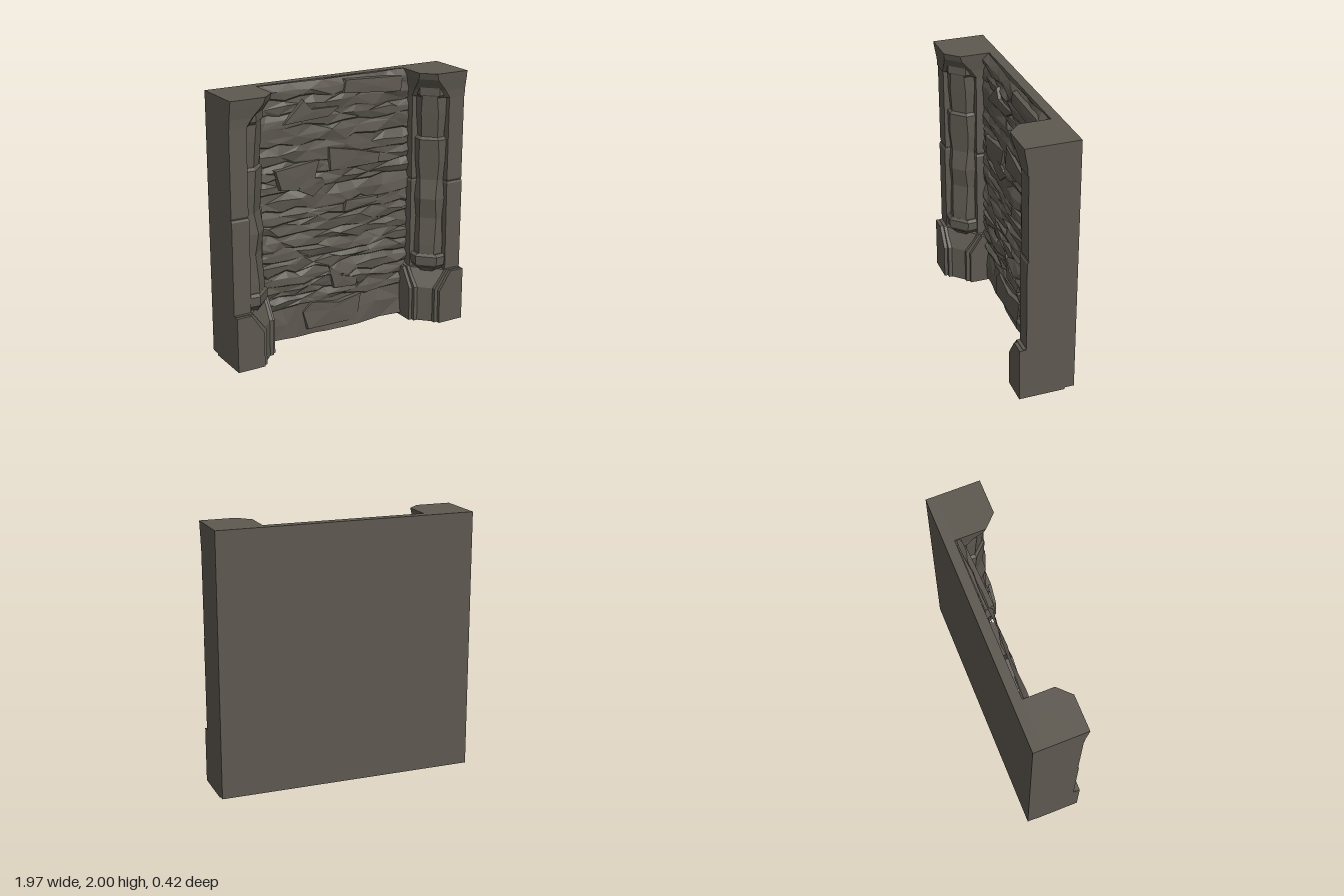
import * as THREE from 'three';

// Seeded random numbers in -1..1
function makeRandom(seed) {
  return () => {
    seed = (seed * 16807) % 2147483647;
    return (seed / 2147483647) * 2 - 1;
  };
}

function fromTriangles(points) {
  const g = new THREE.BufferGeometry();
  g.setAttribute('position', new THREE.Float32BufferAttribute(points.flat(), 3));
  g.computeVertexNormals();
  return g;
}

// Stacks horizontal cross-sections [[x, z], ...] into a closed solid
function loft(levels) {
  const flat = levels[0].pts.map(([x, z]) => new THREE.Vector2(x, -z));
  const reverse = THREE.ShapeUtils.isClockWise(flat);
  const rings = levels.map(({ y, pts }) => {
    const ring = pts.map(([x, z]) => [x, y, z]);
    return reverse ? ring.reverse() : ring;
  });
  const tris = [];
  const n = rings[0].length;
  for (let k = 0; k < rings.length - 1; k++) {
    for (let i = 0; i < n; i++) {
      const j = (i + 1) % n, a = rings[k], b = rings[k + 1];
      tris.push(a[i], a[j], b[j], a[i], b[j], b[i]);
    }
  }
  const cap = (ring, up) => {
    const contour = ring.map(([x, , z]) => new THREE.Vector2(x, -z));
    for (const [a, b, c] of THREE.ShapeUtils.triangulateShape(contour, [])) {
      tris.push(ring[a], ring[up ? b : c], ring[up ? c : b]);
    }
  };
  cap(rings[0], false);
  cap(rings[rings.length - 1], true);
  return fromTriangles(tris);
}

// Reflects a geometry and restores its face order
function reflect(geometry, matrix) {
  const g = geometry.index ? geometry.toNonIndexed() : geometry.clone();
  g.applyMatrix4(matrix);
  const p = g.attributes.position;
  const a = new THREE.Vector3(), b = new THREE.Vector3();
  for (let i = 0; i < p.count; i += 3) {
    a.fromBufferAttribute(p, i + 1);
    b.fromBufferAttribute(p, i + 2);
    p.setXYZ(i + 1, b.x, b.y, b.z);
    p.setXYZ(i + 2, a.x, a.y, a.z);
  }
  g.computeVertexNormals();
  return g;
}

const MIRROR_X = new THREE.Matrix4().makeScale(-1, 1, 1);
// Swaps the front and inner faces of a pillar across its corner diagonal
const DIAG = 0.81;
const MIRROR_DIAGONAL = new THREE.Matrix4().set(0, 0, -1, DIAG, 0, 1, 0, 0, -1, 0, 0, DIAG, 0, 0, 0, 1);

// Pillar section with a chamfered corner: front depth f, chamfer start c
const chamfered = (f, c) => [[0.985, -0.14], [0.985, f], [c, f], [DIAG - f, DIAG - c], [DIAG - f, -0.14]];

// Pillar section with a recessed corner
const recessed = (f, c) => [[0.985, -0.14], [0.985, f], [c, f], [c, 0.1],
  [0.71, DIAG - c], [DIAG - f, DIAG - c], [DIAG - f, -0.14]];

// Faceted corner column, s pushes it outwards along the diagonal
const columnSection = (s, w = 0, bend = 0) => [[0.88, 0.07], [0.845 + w, 0.125 + s], [0.77 + bend, 0.13 + s],
  [0.68 - s, 0.04 - bend], [0.685 - s, -0.035 - w], [0.74, -0.07]];

function plate(outline, z0, z1) {
  const shape = new THREE.Shape(outline.map(([x, y]) => new THREE.Vector2(x, y)));
  return new THREE.ExtrudeGeometry(shape, { depth: z1 - z0, bevelEnabled: false }).translate(0, 0, z0);
}

function pillarParts() {
  const frontPlate = plate([[0.77, 0], [0.985, 0], [0.985, 0.42], [0.87, 0.42], [0.77, 0.27]], 0.08, 0.212);
  const frontBorder = plate([[0.74, 0], [0.98, 0], [0.98, 0.425], [0.85, 0.425], [0.74, 0.28]], 0.08, 0.185);
  const rand = makeRandom(77);
  const column = [0.44, 0.62, 0.84, 1.0, 1.15, 1.3, 1.47, 1.49, 1.68, 1.84].map((y, i) => ({
    y, pts: columnSection([0, 0, -0.01, 0.003, -0.012, 0.004, 0.006, -0.014, 0, 0][i], rand() * 0.006, rand() * 0.018),
  }));
  return {
    lowerShaft: loft([{ y: 0.3, pts: recessed(0.16, 0.85) }, { y: 1.125, pts: recessed(0.163, 0.845) },
      { y: 1.14, pts: recessed(0.155, 0.85) }]),
    upperShaft: loft([{ y: 1.14, pts: recessed(0.148, 0.855) }, { y: 1.155, pts: recessed(0.156, 0.85) },
      { y: 1.82, pts: recessed(0.16, 0.85) }]),
    cornerColumn: loft(column),
    columnFoot: loft([{ y: 0.4, pts: columnSection(-0.03) }, { y: 0.46, pts: columnSection(0.025) },
      { y: 0.53, pts: columnSection(0.03) }, { y: 0.55, pts: columnSection(0.01) }]),
    columnNeck: loft([{ y: 1.8, pts: columnSection(0) }, { y: 1.82, pts: columnSection(0.016) },
      { y: 1.88, pts: columnSection(0.016) }]),
    capital: loft([{ y: 1.8, pts: chamfered(0.165, 0.85) }, { y: 1.86, pts: chamfered(0.168, 0.81) },
      { y: 1.95, pts: chamfered(0.185, 0.73) }, { y: 2, pts: chamfered(0.192, 0.715) }]),
    baseCore: loft([{ y: 0, pts: chamfered(0.165, 0.75) }, { y: 0.28, pts: chamfered(0.165, 0.75) },
      { y: 0.42, pts: chamfered(0.16, 0.84) }]),
    baseFrontPlate: frontPlate,
    baseFrontBorder: frontBorder,
    baseInnerPlate: reflect(frontPlate, MIRROR_DIAGONAL),
    baseInnerBorder: reflect(frontBorder, MIRROR_DIAGONAL),
  };
}

// Rough courses of rock, each leaning back to a ledge below the next
function rockFace() {
  const rand = makeRandom(4231);
  const beds = [0.02, 0.28, 0.37, 0.47, 0.57, 0.67, 0.76, 0.87, 0.97, 1.06, 1.2, 1.31, 1.42, 1.55, 1.68, 1.78, 1.9, 2];
  const cols = 11, rows = [];
  const makeRow = (y, wobble, z, rough) => Array.from({ length: cols + 1 }, (_, i) => {
    const inner = i > 0 && i < cols;
    const x = -0.7 + (1.4 * i) / cols + (inner ? rand() * 0.045 : 0);
    return [x, y + rand() * wobble, z - 0.03 * Math.abs(x) + rand() * rough];
  });
  for (let k = 0; k < beds.length - 1; k++) {
    const first = k === 0, last = k === beds.length - 2;
    const h = beds[k + 1] - beds[k];
    const low = makeRow(beds[k], first ? 0 : 0.022, -0.078, 0.016);
    // The underside of a ledge follows its lower edge
    if (!first) rows.push(low.map(([x, y, z]) => [x, y - 0.012, z - 0.012 + rand() * 0.012]));
    rows.push(low, makeRow(beds[k] + h * 0.5, h * 0.12, -0.074, 0.012));
    if (last) rows.push(makeRow(beds[k + 1], 0, -0.105, 0.008));
  }
  const tris = [];
  for (let r = 0; r < rows.length - 1; r++) {
    for (let i = 0; i < cols; i++) {
      const a = rows[r][i], b = rows[r][i + 1], c = rows[r + 1][i + 1], d = rows[r + 1][i];
      if ((r + i) % 2) tris.push(a, b, c, a, c, d);
      else tris.push(a, b, d, b, c, d);
    }
  }
  return fromTriangles(tris);
}

// A projecting stone with a sloping rim, outline counter-clockwise
function stone(outline, z) {
  const cx = outline.reduce((s, p) => s + p[0], 0) / outline.length;
  const cy = outline.reduce((s, p) => s + p[1], 0) / outline.length;
  const tris = [];
  const rim = outline.map(([x, y]) => [x, y, -0.13]);
  const face = outline.map(([x, y], i) => [cx + (x - cx) * 0.93, cy + (y - cy) * 0.88, z - 0.007 * (i % 3)]);
  rim.forEach((p, i) => {
    const j = (i + 1) % rim.length;
    tris.push(p, rim[j], face[j], p, face[j], face[i], face[i], face[j], [cx, cy, z]);
  });
  return fromTriangles(tris);
}

const STONES = [
  [[-0.27, 0.06], [0.2, 0.05], [0.24, 0.28], [0.02, 0.25], [-0.23, 0.3], [-0.31, 0.22]],
  [[-0.07, 1.3], [0.38, 1.3], [0.4, 1.38], [0.2, 1.44], [-0.08, 1.5]],
  [[-0.48, 1.21], [-0.2, 1.17], [-0.13, 1.42], [-0.53, 1.38]],
  [[-0.33, 1.19], [-0.2, 1.12], [-0.08, 1.22], [-0.12, 1.27], [-0.31, 1.3]],
  [[0.05, 0.96], [0.36, 1], [0.38, 1.05], [0.07, 1.06]],
  [[-0.46, 1.7], [-0.06, 1.72], [0.05, 1.79], [-0.22, 1.8], [-0.28, 1.88]],
  [[-0.03, 0.36], [0.18, 0.34], [0.2, 0.41], [0.04, 0.46], [-0.08, 0.57]],
  [[0.04, 1.88], [0.58, 1.83], [0.6, 1.96], [0.06, 1.99]],
];

export function createModel() {
  const model = new THREE.Group();
  model.name = 'stoneWallSection';
  const stoneGrey = new THREE.MeshStandardMaterial({ color: 0x5d5850 });
  stoneGrey.name = 'stoneGrey';
  stoneGrey.flatShading = true;

  const add = (parent, name, geometry) => {
    const mesh = new THREE.Mesh(geometry, stoneGrey);
    mesh.name = name;
    parent.add(mesh);
  };

  // Flat slab behind everything
  add(model, 'backSlab', new THREE.BoxGeometry(1.97, 1.985, 0.075).translate(0, 1.0075, -0.1745));

  // Rock between the pillars
  add(model, 'rockFace', rockFace());
  STONES.forEach((outline, i) => add(model, `projectingStone${i + 1}`, stone(outline, -0.06)));

  // Matching pillars
  const left = new THREE.Group(), right = new THREE.Group();
  left.name = 'leftPillar';
  right.name = 'rightPillar';
  for (const [name, geometry] of Object.entries(pillarParts())) {
    add(left, name, geometry);
    add(right, name, reflect(geometry, MIRROR_X));
  }
  model.add(left, right);
  return model;
}
